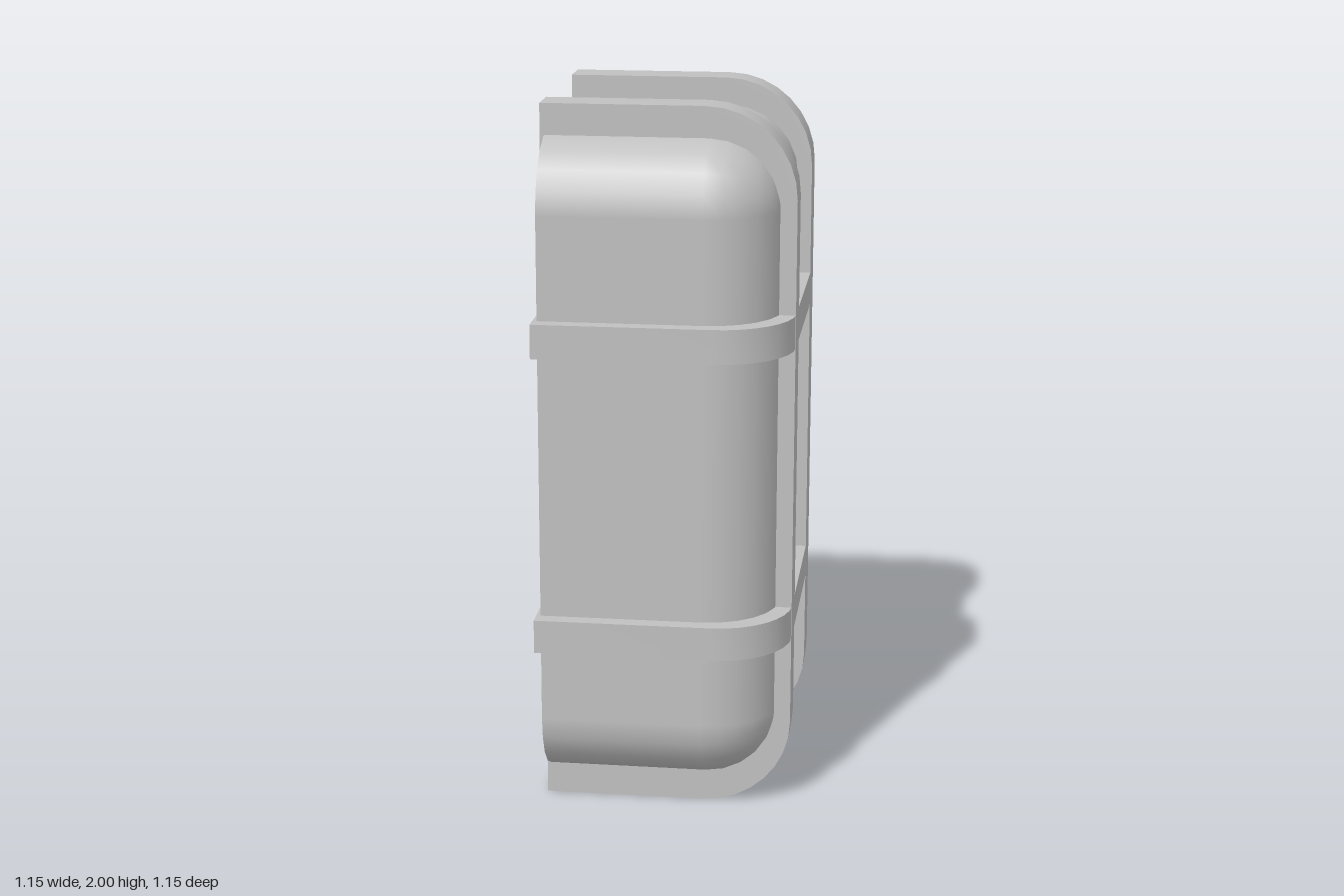
import * as THREE from 'three';
import { toCreasedNormals } from 'three/addons/utils/BufferGeometryUtils.js';

const BACK = -0.287, FRONT = 0.412; // depth range of the guard bars

// Flat plate: straight at the back, two rounded corners at the front
function hoopGeometry(half, radius, thickness) {
  const s = new THREE.Shape();
  s.moveTo(-half, BACK);
  s.lineTo(half, BACK);
  s.lineTo(half, FRONT - radius);
  s.absarc(half - radius, FRONT - radius, radius, 0, Math.PI / 2, false);
  s.absarc(-half + radius, FRONT - radius, radius, Math.PI / 2, Math.PI, false);
  const g = new THREE.ExtrudeGeometry(s, { depth: thickness, bevelEnabled: false, curveSegments: 4 });
  g.translate(0, 0, -thickness / 2);
  return toCreasedNormals(g, 0.5);
}

// Rounded housing with a flat back, from rounded-rectangle rings
function bodyGeometry(halfW, halfH, back, front, r) {
  const pos = [], nor = [], idx = [], CORNER = 5, ARC = 6;
  const signs = [[1, 1], [-1, 1], [-1, -1], [1, -1]];
  const n = 4 * (CORNER + 1);
  const addRing = (t, z, flat) => {
    signs.forEach(([sx, sy], q) => {
      for (let k = 0; k <= CORNER; k++) {
        const a = (q + k / CORNER) * Math.PI / 2;
        const c = Math.cos(t) * Math.cos(a), d = Math.cos(t) * Math.sin(a);
        pos.push(sx * (halfW - r) + r * c, sy * (halfH - r) + r * d, z);
        if (flat) nor.push(0, 0, -1);
        else nor.push(c, d, Math.sin(t));
      }
    });
  };
  addRing(0, back, false);
  for (let i = 0; i <= ARC; i++) {
    const t = i / ARC * Math.PI / 2;
    addRing(t, front - r + r * Math.sin(t), false);
  }
  for (let i = 0; i <= ARC; i++) {
    for (let j = 0; j < n; j++) {
      const a = i * n + j, b = i * n + (j + 1) % n;
      idx.push(a, b, b + n, a, b + n, a + n);
    }
  }
  // front and back caps
  const last = (ARC + 1) * n, rear = last + n;
  addRing(0, back, true);
  for (let j = 1; j < n - 1; j++) {
    idx.push(last, last + j, last + j + 1);
    idx.push(rear, rear + j + 1, rear + j);
  }
  const g = new THREE.BufferGeometry();
  g.setAttribute('position', new THREE.Float32BufferAttribute(pos, 3));
  g.setAttribute('normal', new THREE.Float32BufferAttribute(nor, 3));
  g.setIndex(idx);
  return g;
}

export function createModel() {
  const model = new THREE.Group();
  model.name = 'wallLamp';
  const grey = new THREE.MeshStandardMaterial({ color: 0xc0c0c0 });
  grey.name = 'grey';

  const add = (name, geometry, x, y) => {
    const m = new THREE.Mesh(geometry, grey);
    m.name = name;
    m.position.set(x, y, 0);
    model.add(m);
  };

  // Housing
  add('housing', bodyGeometry(0.484, 0.917, BACK + 0.012, 0.372, 0.2), 0, 1.004);

  const X = new THREE.Vector3(1, 0, 0), Y = new THREE.Vector3(0, 1, 0), Z = new THREE.Vector3(0, 0, 1);

  // Upright guard bars
  const upright = hoopGeometry(1, 0.25, 0.112);
  upright.applyMatrix4(new THREE.Matrix4().makeBasis(Y, Z, X));
  for (const side of [-1, 1]) add('uprightGuard', upright, side * 0.275, 1);

  // Level guard bars
  const level = hoopGeometry(0.527, 0.21, 0.095);
  level.applyMatrix4(new THREE.Matrix4().makeBasis(X, Z, Y.clone().negate()));
  for (const y of [0.547, 1.387]) add('levelGuard', level, 0, y);

  // The lamp stands turned diagonally
  model.rotation.y = Math.PI * 0.75;
  return model;
}
